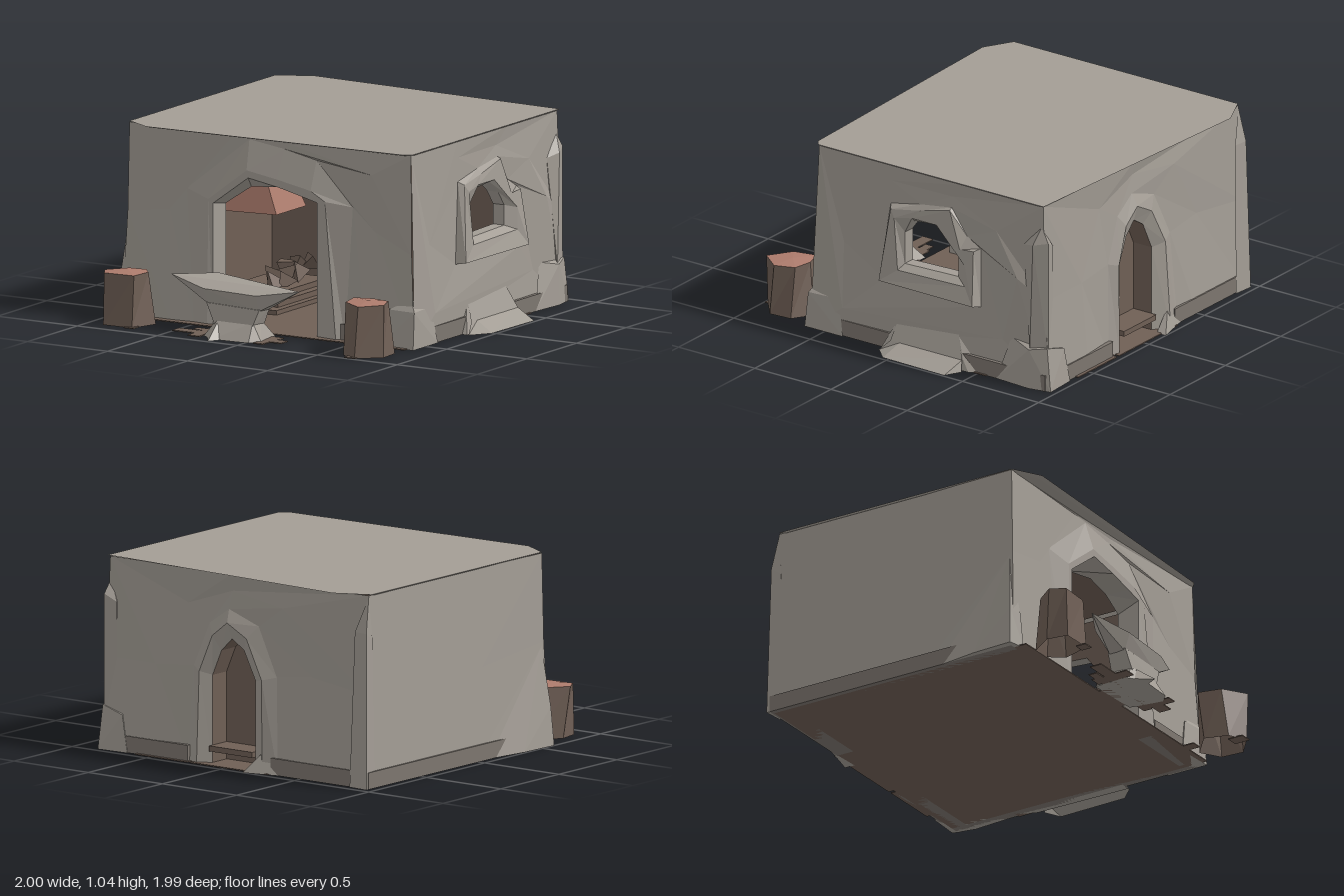
import * as THREE from 'three';
import { ConvexGeometry } from 'three/addons/geometries/ConvexGeometry.js';

const material = (color) => new THREE.MeshStandardMaterial({ color, flatShading: true, side: THREE.DoubleSide });
const STONE = material(0xa39d95);
const FOOTING = material(0x7d766f);
const WOOD = material(0x6f5f55);
const LID = material(0xac7b6c);

export function createModel() {
  const model = new THREE.Group();

  function add(name, geometry, mat, parent = model) {
    const mesh = new THREE.Mesh(geometry, mat);
    mesh.name = name;
    parent.add(mesh);
    return mesh;
  }

  // Box given by its limits on each axis
  function box(name, [x0, x1], [y0, y1], [z0, z1], mat, parent) {
    const mesh = add(name, new THREE.BoxGeometry(x1 - x0, y1 - y0, z1 - z0), mat, parent);
    mesh.position.set((x0 + x1) / 2, (y0 + y1) / 2, (z0 + z1) / 2);
  }

  // Faceted skin between rings of equal length
  function loft(name, rings, closed, mat, parent) {
    const n = rings[0].length;
    const index = [];
    for (let r = 0; r < rings.length - 1; r++) {
      for (let i = 0; i < (closed ? n : n - 1); i++) {
        const a = r * n + i, b = r * n + (i + 1) % n;
        index.push(a, b, a + n, b, b + n, a + n);
      }
    }
    const geometry = new THREE.BufferGeometry();
    geometry.setAttribute('position', new THREE.Float32BufferAttribute(rings.flat(2), 3));
    geometry.setIndex(index);
    geometry.computeVertexNormals();
    add(name, geometry, mat, parent);
  }

  const rock = (name, points, mat = STONE, parent = model) =>
    add(name, new ConvexGeometry(points.map((p) => new THREE.Vector3(...p))), mat, parent);
  const setAxis = (ring, axis, value) => ring.map((p) => p.map((v, k) => (k === axis ? value : v)));
  const inset = (ring) => ring.map((p) => p.map((v) => v * 0.93));

  // Front wall with a peaked doorway; the wall swells forward to the opening
  const doorway = [[-0.4, 0, 0.6], [-0.4, 0.66, 0.6], [-0.18, 0.82, 0.6], [0, 0.79, 0.6], [0.15, 0.755, 0.6], [0.25, 0.73, 0.6], [0.25, 0, 0.6]];
  const innerDoor = [[-0.4, 0, 0.47], [-0.4, 0.64, 0.47], [-0.24, 0.745, 0.47], [-0.02, 0.785, 0.47], [0.13, 0.75, 0.47], [0.25, 0.68, 0.47], [0.25, 0, 0.47]];
  const frontEdge = [[-0.97, 0, 0.6], [-0.945, 0.56, 0.58], [-0.94, 1.04, 0.57], [-0.1, 1.04, 0.56], [0.82, 1.04, 0.57], [0.83, 0.5, 0.58], [0.86, 0, 0.6]];
  loft('frontWall', [
    frontEdge,
    [[-0.66, 0, 0.61], [-0.68, 0.6, 0.58], [-0.3, 1.03, 0.555], [0.05, 1.02, 0.555], [0.58, 0.91, 0.58], [0.6, 0.6, 0.57], [0.56, 0, 0.6]],
    [[-0.52, 0, 0.6], [-0.58, 0.72, 0.57], [-0.2, 1.02, 0.555], [0.02, 0.99, 0.555], [0.22, 0.95, 0.555], [0.45, 0.72, 0.56], [0.42, 0, 0.59]],
    [[-0.43, 0, 0.61], [-0.43, 0.68, 0.6], [-0.19, 0.86, 0.6], [0, 0.83, 0.6], [0.21, 0.79, 0.6], [0.3, 0.74, 0.6], [0.38, 0, 0.62]],
    doorway, innerDoor], false, STONE);
  loft('frontLining', [innerDoor, setAxis(inset(frontEdge), 2, 0.47)], false, WOOD);

  // Back wall with a narrow pointed arch
  const arch = [[0.13, 0, -0.9], [0.13, 0.48, -0.9], [0.07, 0.62, -0.9], [0, 0.69, -0.9], [-0.08, 0.64, -0.9], [-0.16, 0.48, -0.9], [-0.16, 0, -0.9]];
  loft('backWall', [
    [[0.84, 0, -0.95], [0.83, 0.5, -0.92], [0.82, 1.04, -0.9], [0, 1.04, -0.91], [-0.93, 1.04, -0.91], [-0.94, 0.5, -0.92], [-0.95, 0, -0.95]],
    [[0.48, 0, -0.95], [0.5, 0.5, -0.92], [0.3, 0.85, -0.89], [0, 0.95, -0.89], [-0.35, 0.9, -0.91], [-0.55, 0.55, -0.91], [-0.5, 0, -0.95]],
    [[0.27, 0, -0.93], [0.25, 0.52, -0.91], [0.15, 0.76, -0.9], [0.02, 0.85, -0.9], [-0.18, 0.78, -0.9], [-0.31, 0.52, -0.91], [-0.34, 0, -0.94]],
    [[0.2, 0, -0.95], [0.19, 0.5, -0.94], [0.11, 0.7, -0.93], [0.01, 0.78, -0.93], [-0.12, 0.71, -0.93], [-0.23, 0.5, -0.94], [-0.25, 0, -0.96]],
    arch], false, STONE);
  loft('archJamb', [arch, setAxis(arch, 2, -0.77)], false, WOOD);
  box('archSill', [-0.16, 0.13], [0.07, 0.1], [-0.93, -0.78], WOOD);

  // Right wall with a rough window and jutting sill
  const win = [[0.83, 0.5, 0], [0.83, 0.68, 0], [0.83, 0.76, -0.06], [0.83, 0.77, -0.2], [0.83, 0.7, -0.29], [0.83, 0.62, -0.35], [0.83, 0.51, -0.35]];
  const sideEdge = [[0.86, 0, 0.6], [0.82, 1.04, 0.57], [0.82, 1.04, 0.1], [0.82, 1.04, -0.4], [0.82, 1.04, -0.9], [0.83, 0.5, -0.92], [0.84, 0, -0.95]];
  loft('rightWall', [
    sideEdge,
    [[0.86, 0.16, 0.39], [0.83, 0.53, 0.4], [0.82, 0.95, 0.1], [0.81, 0.95, -0.3], [0.83, 0.83, -0.6], [0.85, 0.6, -0.75], [0.83, 0.22, -0.64]],
    [[0.83, 0.38, 0.14], [0.82, 0.82, 0.1], [0.82, 0.86, -0.1], [0.82, 0.89, -0.3], [0.82, 0.75, -0.4], [0.82, 0.7, -0.49], [0.83, 0.37, -0.5]],
    [[0.89, 0.39, 0.13], [0.85, 0.8, 0.08], [0.84, 0.83, -0.1], [0.84, 0.88, -0.3], [0.86, 0.68, -0.38], [0.86, 0.69, -0.47], [0.9, 0.39, -0.49]],
    [[0.87, 0.47, 0.02], [0.86, 0.76, 0.05], [0.85, 0.78, -0.06], [0.85, 0.78, -0.22], [0.86, 0.68, -0.33], [0.87, 0.6, -0.42], [0.87, 0.48, -0.42]],
    win, setAxis(win, 0, 0.76)], true, STONE);
  loft('rightLining', [setAxis(win, 0, 0.76), setAxis(inset(sideEdge), 0, 0.76)], true, WOOD);

  // Plain left wall
  loft('leftWall', [
    [[-0.97, 0, 0.6], [-0.95, 0, 0], [-0.95, 0, -0.95]],
    [[-0.945, 0.56, 0.58], [-0.94, 0.5, 0.05], [-0.94, 0.5, -0.92]],
    [[-0.94, 1.04, 0.57], [-0.93, 1.04, 0], [-0.93, 1.04, -0.91]]], false, STONE);

  // Thin flat roof with clipped corners
  const outline = [[-0.94, -0.9], [-0.75, -0.99], [0.83, -0.91], [0.83, 0.57], [0.79, 0.6], [-0.78, 0.66], [-0.94, 0.57]];
  rock('roof', outline.flatMap(([x, z]) => [[x, 1.045, z], [x * 0.99, 1.037, z * 0.96]]));

  // Room lining and floor
  box('backLining', [-0.9, 0.78], [0, 1.02], [-0.78, -0.75], WOOD);
  box('leftLining', [-0.9, -0.87], [0, 1.02], [-0.75, 0.47], WOOD);
  box('ceiling', [-0.9, 0.78], [1, 1.02], [-0.75, 0.5], WOOD);
  box('floor', [-0.93, 0.83], [0, 0.006], [-0.94, 0.655], WOOD);
  [[0.25, 0.6, -0.97, -0.9], [-0.3, 0.23, -0.97, -0.9], [0.6, 0.66, 0.6, 0.72], [0.7, 0.87, -0.56, -0.48]]
    .forEach(([x0, x1, z0, z1]) => box('floorPlank', [x0, x1], [0, 0.006], [z0, z1], WOOD));

  // Dark footing along the walls
  [[0.8, 0.86, -0.94, 0.6], [-0.96, -0.9, -0.95, 0.58], [0.4, 0.8, 0.5, 0.605],
    [0.26, 0.84, -0.952, -0.85], [-0.95, -0.3, -0.952, -0.85]]
    .forEach(([x0, x1, z0, z1]) => box('footing', [x0, x1], [0, 0.09], [z0, z1], FOOTING));

  // Rocks bulging from the corners
  rock('frontLeftRock', [[0.8, 0, 0.55], [0.87, 0, 0.63], [0.865, 0.2, 0.61], [0.65, 0, 0.62], [0.7, 0.2, 0.6], [0.82, 0.26, 0.57], [0.87, 0, 0.38], [0.85, 0.2, 0.42]]);
  rock('frontRightRock', [[-1, 0, 0.6], [-0.985, 0.21, 0.59], [-0.945, 0.54, 0.56], [-0.96, 0.2, 0.35], [-0.99, 0, 0.36], [-0.95, 0, 0.08], [-0.9, 0, 0.62], [-0.9, 0.2, 0.6]]);
  rock('backLeftRock', [[0.66, 0, -0.96], [0.7, 0.2, -0.95], [0.84, 0.24, -0.94], [0.85, 0, -0.97], [0.875, 0, -0.84], [0.87, 0.22, -0.84], [0.86, 0, -0.62], [0.83, 0.25, -0.7], [0.8, 0.2, -0.88]]);
  rock('backLeftColumn', [[0.83, 0.2, -0.94], [0.83, 0.84, -0.94], [0.76, 0.8, -0.92], [0.76, 0.2, -0.92], [0.86, 0.82, -0.86], [0.86, 0.2, -0.84], [0.83, 0.8, -0.78], [0.82, 0.92, -0.89]]);
  rock('backRightRock', [[-0.96, 0, -0.97], [-0.945, 0.84, -0.95], [-0.86, 0.84, -0.94], [-0.84, 0, -0.96], [-0.93, 1.03, -0.91], [-0.95, 0, -0.88], [-0.94, 0.8, -0.89]]);
  rock('backFootRock', [[-0.15, 0, -1], [-0.36, 0, -0.95], [-0.25, 0.12, -0.94], [-0.15, 0, -0.94]]);

  // Leaning stone and slab below the window
  loft('sideSlab', [
    [[0.83, 0.2, 0.03], [0.83, 0.2, 0], [0.83, 0.2, -0.32], [0.83, 0.2, -0.35]],
    [[0.88, 0.06, 0.06], [0.88, 0.06, 0], [0.88, 0.06, -0.36], [0.88, 0.06, -0.41]],
    [[0.9, 0, 0.12], [0.99, 0.005, 0.03], [1, 0.005, -0.38], [0.9, 0, -0.42]]], false, STONE);
  rock('slabBase', [[0.83, 0, 0.12], [0.89, 0, 0.12], [0.83, 0.19, 0.03], [0.87, 0.06, 0.05], [0.83, 0.19, -0.35], [0.87, 0.06, -0.41], [0.88, 0, -0.45], [0.83, 0, -0.56]]);

  // Anvil: flat pointed top, waist and spread foot
  const anvil = new THREE.Group();
  anvil.name = 'anvil';
  model.add(anvil);
  rock('anvilTop', [[-0.53, 0.3, 0.81], [-0.31, 0.31, 0.69], [0.26, 0.28, 0.79], [0.04, 0.25, 0.88], [-0.28, 0.26, 0.89],
    [-0.28, 0.17, 0.76], [-0.27, 0.17, 0.85], [0.05, 0.16, 0.76], [0.04, 0.16, 0.85]], STONE, anvil);
  rock('anvilWaist', [[-0.28, 0.18, 0.75], [0.05, 0.17, 0.75], [0.05, 0.17, 0.86], [-0.28, 0.18, 0.86],
    [-0.22, 0.06, 0.74], [0.01, 0.08, 0.74], [0.01, 0.07, 0.87], [-0.22, 0.06, 0.87]], STONE, anvil);
  rock('anvilFoot', [[-0.28, 0, 0.67], [0.04, 0, 0.68], [0.07, 0, 0.87], [0.02, 0, 0.92], [-0.2, 0, 0.93], [-0.29, 0, 0.87],
    [-0.22, 0.1, 0.76], [0, 0.1, 0.76], [0.01, 0.1, 0.86], [-0.21, 0.1, 0.86]], STONE, anvil);
  rock('anvilToe', [[-0.19, 0, 0.99], [-0.25, 0, 0.9], [-0.14, 0, 0.9], [-0.2, 0.08, 0.88]], STONE, anvil);

  // Loose boards on the ground
  [[-0.5, 0.18, 0.78, 0.85], [-0.42, 0.12, 0.72, 0.77], [-0.36, -0.29, 0.7, 0.92], [0.05, 0.11, 0.72, 0.92], [-0.22, 0.0, 0.65, 0.72],
    [-0.76, -0.7, 0.86, 0.92], [0.66, 0.73, 0.9, 0.99]]
    .forEach(([x0, x1, z0, z1]) => box('groundBoard', [x0, x1], [0, 0.006], [z0, z1], WOOD));

  // Crooked faceted casks, each from a foot outline and a lid outline
  function cask(name, foot, lid) {
    const group = new THREE.Group();
    group.name = name;
    model.add(group);
    const at = (outline2d, y) => outline2d.map(([x, z]) => [x, y, z]);
    loft('caskBody', [at(foot, 0), at(lid, 0.28)], true, WOOD, group);
    const centre = [0, 1].map((k) => lid.reduce((s, p) => s + p[k], 0) / lid.length);
    loft('caskLid', [at(lid, 0.28), lid.map(() => [centre[0], 0.29, centre[1]])], true, LID, group);
  }
  cask('rightCask',
    [[-0.83, 0.65], [-0.73, 0.66], [-0.67, 0.74], [-0.72, 0.9], [-0.9, 0.9], [-0.92, 0.78]],
    [[-0.86, 0.7], [-0.76, 0.69], [-0.71, 0.75], [-0.72, 0.88], [-0.9, 0.89], [-0.945, 0.81]]);
  cask('leftCask',
    [[0.72, 0.68], [0.83, 0.75], [0.84, 0.88], [0.72, 0.98], [0.62, 0.93], [0.58, 0.8]],
    [[0.68, 0.73], [0.79, 0.75], [0.83, 0.86], [0.74, 0.975], [0.61, 0.89], [0.58, 0.76]]);

  // Forge inside: stepped hearth, rubble and hood
  const forge = new THREE.Group();
  forge.name = 'forge';
  model.add(forge);
  [[-0.72, -0.24, -0.45, 0.22], [-0.69, -0.28, -0.45, 0.14], [-0.66, -0.33, -0.45, 0.05]]
    .forEach(([x0, x1, z0, z1], i) => box('hearthStep', [x0, x1], [0, 0.03 * (i + 1)], [z0, z1], WOOD, forge));
  for (let i = 0; i < 8; i++) {
    const lump = add('rubble', new THREE.TetrahedronGeometry(0.07 + 0.01 * (i % 3)), WOOD, forge);
    lump.position.set(-0.4 - 0.05 * (i % 3), 0.18 - 0.012 * i, -0.38 + 0.04 * i);
    lump.rotation.set(i, i * 2, i * 0.7);
  }
  rock('hood', [[-0.87, 0.45, -0.15], [-0.5, 0.45, -0.2], [-0.5, 0.45, -0.5], [-0.87, 0.45, -0.5],
    [-0.87, 1, -0.25], [-0.72, 1, -0.25], [-0.72, 1, -0.4], [-0.87, 1, -0.4]], LID, forge);

  return model;
}
